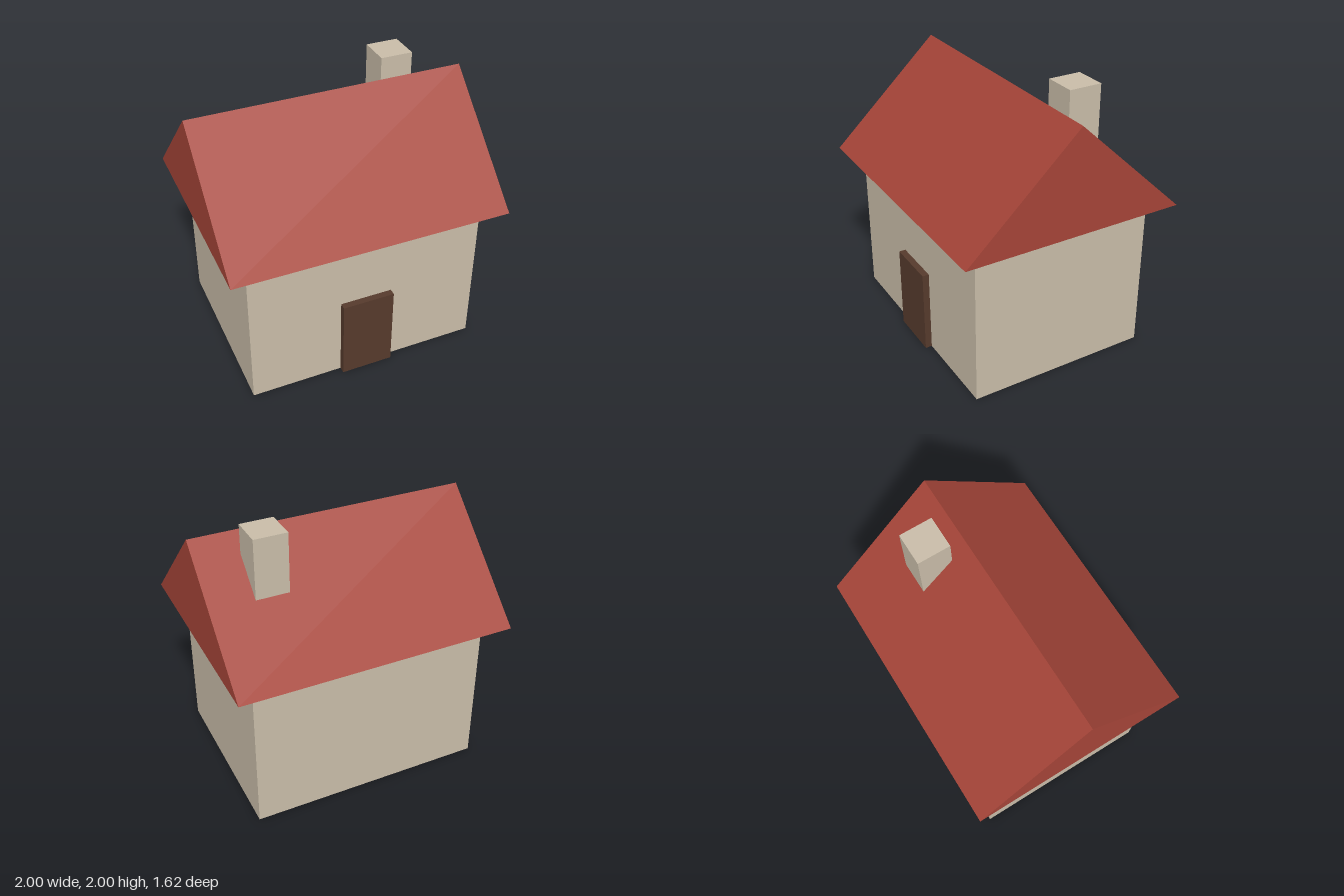
import * as THREE from 'three';

const material = (name, color, side = THREE.FrontSide) => {
  const m = new THREE.MeshStandardMaterial({ color, side });
  m.name = name;
  return m;
};

// Box given by its extents along each axis
function block(name, mat, [x0, x1], [y0, y1], [z0, z1]) {
  const mesh = new THREE.Mesh(new THREE.BoxGeometry(x1 - x0, y1 - y0, z1 - z0), mat);
  mesh.position.set((x0 + x1) / 2, (y0 + y1) / 2, (z0 + z1) / 2);
  mesh.name = name;
  return mesh;
}

// Gable roof shell: two slopes and two end triangles, open underneath
function gableRoof(halfLength, halfDepth, eaveY, ridgeY) {
  const corners = (x) => [
    [x, eaveY, halfDepth],
    [x, ridgeY, 0],
    [x, eaveY, -halfDepth],
  ];
  const [lf, lr, lb] = corners(halfLength);
  const [rf, rr, rb] = corners(-halfLength);
  const triangles = [
    rf, lf, lr, rf, lr, rr, // front slope
    lb, rb, rr, lb, rr, lr, // back slope
    lf, lb, lr, // left gable
    rb, rf, rr, // right gable
  ];
  const geometry = new THREE.BufferGeometry();
  geometry.setAttribute('position', new THREE.Float32BufferAttribute(triangles.flat(), 3));
  geometry.computeVertexNormals();
  return geometry;
}

export function createModel() {
  const plaster = material('plaster', 0xc8bca8);
  const wood = material('darkWood', 0x563a2c);
  const tiles = material('redTiles', 0xa54438, THREE.DoubleSide);

  const house = new THREE.Group();
  house.name = 'house';

  const roof = new THREE.Mesh(gableRoof(1, 0.81, 1.145, 1.905), tiles);
  roof.name = 'roof';

  house.add(
    block('walls', plaster, [-0.857, 0.857], [0, 1.145], [-0.667, 0.667]),
    roof,
    block('chimney', plaster, [0.45, 0.686], [1.47, 2], [-0.357, -0.119]),
    block('door', wood, [-0.19, 0.19], [0, 0.62], [0.62, 0.715]),
  );
  return house;
}
